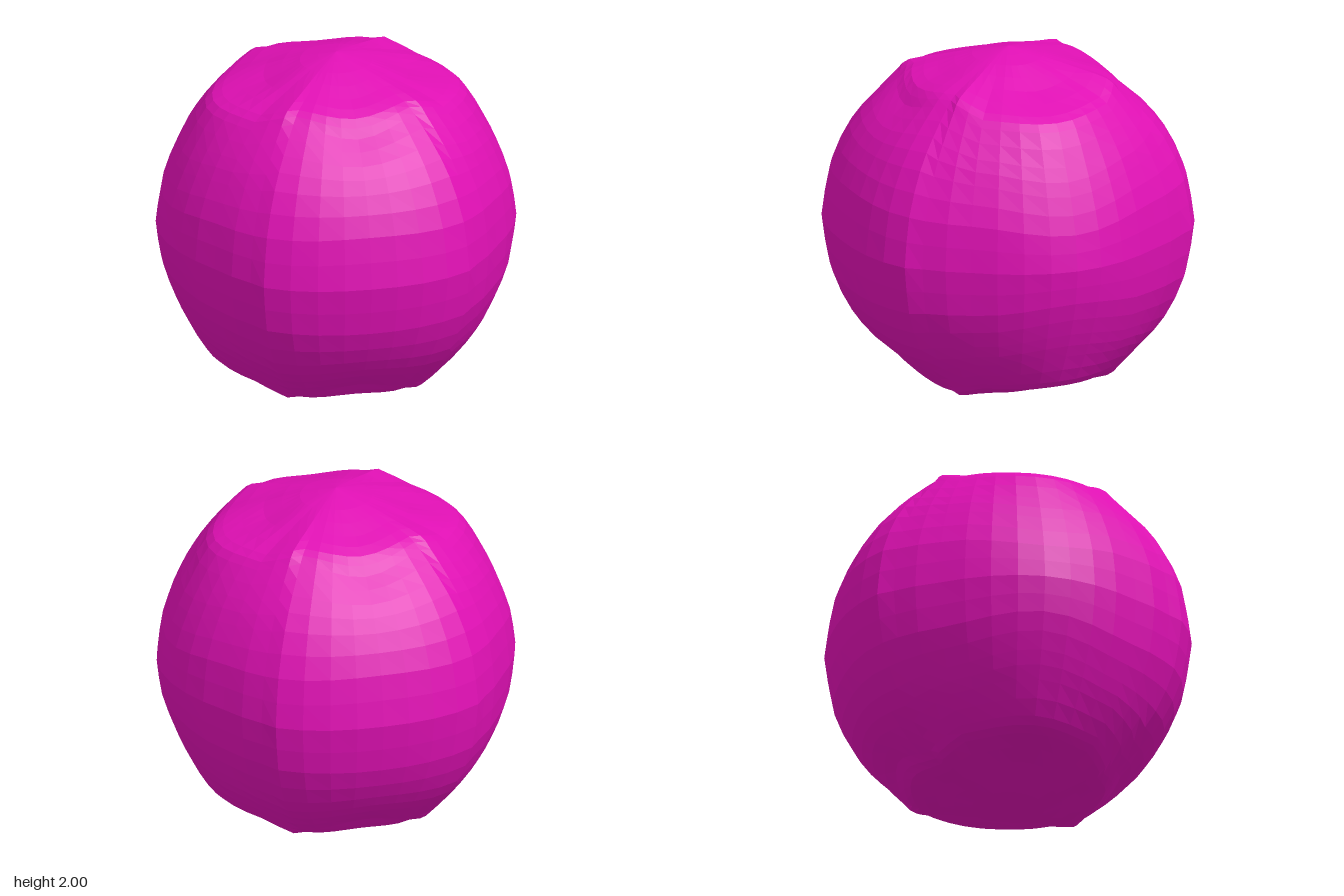
import * as THREE from 'three';

// Upper half profiles [radius, height above the middle], pole to equator,
// keyed by degrees from the z axis towards the x axis
const CREASE = 39.4;
const PROFILES = [
  [0, [[0, 1], [0.2, 0.957], [0.4, 0.885], [0.54, 0.83], [0.62, 0.74], [0.75, 0.63], [0.85, 0.5], [0.95, 0.29], [1, 0]]],
  [34, [[0, 1], [0.2, 0.96], [0.38, 0.91], [0.53, 0.865], [0.61, 0.81], [0.75, 0.68], [0.88, 0.52], [0.99, 0.28], [1.035, 0]]],
  [CREASE, [[0, 1], [0.2, 0.96], [0.4, 0.91], [0.57, 0.865], [0.64, 0.8], [0.77, 0.65], [0.87, 0.5], [0.97, 0.27], [1.005, 0]]],
  [55, [[0, 1], [0.2, 0.955], [0.4, 0.885], [0.6, 0.81], [0.68, 0.745], [0.79, 0.6], [0.86, 0.47], [0.94, 0.26], [0.97, 0]]],
  [90, [[0, 1], [0.2, 0.95], [0.4, 0.86], [0.635, 0.79], [0.73, 0.727], [0.83, 0.55], [0.9, 0.4], [0.97, 0.2], [1, 0]]],
].map(([angle, pts]) => ({
  angle,
  curve: new THREE.CatmullRomCurve3(pts.map(([r, y]) => new THREE.Vector3(r, y, 0)), false, 'catmullrom', 0.5),
}));

const HALF_ROWS = 16; // two rows per profile interval
const CAP_ROWS = 6;   // rows that belong to the cap
const QUADRANT = [0, 8.5, 17, 25.5, 34, CREASE, 47, 55, 64, 72.7, 81.4, 90];

// Surface point at an azimuth in degrees and a row from -HALF_ROWS to HALF_ROWS
function surfacePoint(azimuth, row) {
  let a = ((azimuth % 180) + 180) % 180;
  if (a > 90) a = 180 - a;
  let k = 0;
  while (k < PROFILES.length - 2 && a > PROFILES[k + 1].angle) k++;
  const p = PROFILES[k], q = PROFILES[k + 1];
  const f = THREE.MathUtils.smoothstep(a, p.angle, q.angle);
  const t = 1 - Math.abs(row) / HALF_ROWS;
  const s = p.curve.getPoint(t).lerp(q.curve.getPoint(t), f);
  const rad = THREE.MathUtils.degToRad(azimuth);
  return [s.x * Math.sin(rad), 1 + Math.sign(row) * s.y, s.x * Math.cos(rad)];
}

// Faceted patch over a list of azimuths and a range of rows
function panel(name, azimuths, rowFrom, rowTo, material) {
  const positions = [], index = [];
  const n = azimuths.length;
  for (let row = rowFrom; row <= rowTo; row++)
    for (const a of azimuths) positions.push(...surfacePoint(a, row));
  for (let j = 0; j < rowTo - rowFrom; j++) {
    for (let i = 0; i < n - 1; i++) {
      const a = j * n + i, b = a + 1, c = b + n, d = a + n;
      if (rowFrom + j > -HALF_ROWS) index.push(a, b, d);
      if (rowFrom + j + 1 < HALF_ROWS) index.push(b, c, d);
      else continue;
      if (rowFrom + j === -HALF_ROWS) continue;
    }
  }
  const geometry = new THREE.BufferGeometry();
  geometry.setAttribute('position', new THREE.Float32BufferAttribute(positions, 3));
  geometry.setIndex(index);
  geometry.computeVertexNormals();
  const mesh = new THREE.Mesh(geometry, material);
  mesh.name = name;
  return mesh;
}

export function createModel() {
  const group = new THREE.Group();
  group.name = 'lobedBall';
  const material = new THREE.MeshStandardMaterial({ color: 0xe010b4, flatShading: true });

  // Columns of a narrow (z facing) and a wide (x facing) panel, and of a full turn
  const half = QUADRANT.filter((a) => a <= CREASE);
  const narrow = [...half.slice(1).reverse().map((a) => -a), ...half];
  const side = QUADRANT.filter((a) => a >= CREASE);
  const wide = [...side, ...side.slice(0, -1).reverse().map((a) => 180 - a)];
  const turn = (list, by) => list.map((a) => a + by);
  const around = [...narrow, ...wide.slice(1), ...turn(narrow, 180).slice(1), ...turn(wide, 180).slice(1)];

  // Side panels
  const edge = HALF_ROWS - CAP_ROWS;
  const sides = { frontPanel: narrow, leftPanel: wide, backPanel: turn(narrow, 180), rightPanel: turn(wide, 180) };
  for (const [name, columns] of Object.entries(sides)) group.add(panel(name, columns, -edge, edge, material));

  // Caps
  group.add(panel('topCap', around, edge, HALF_ROWS, material));
  group.add(panel('bottomCap', around, -HALF_ROWS, -edge, material));
  return group;
}
